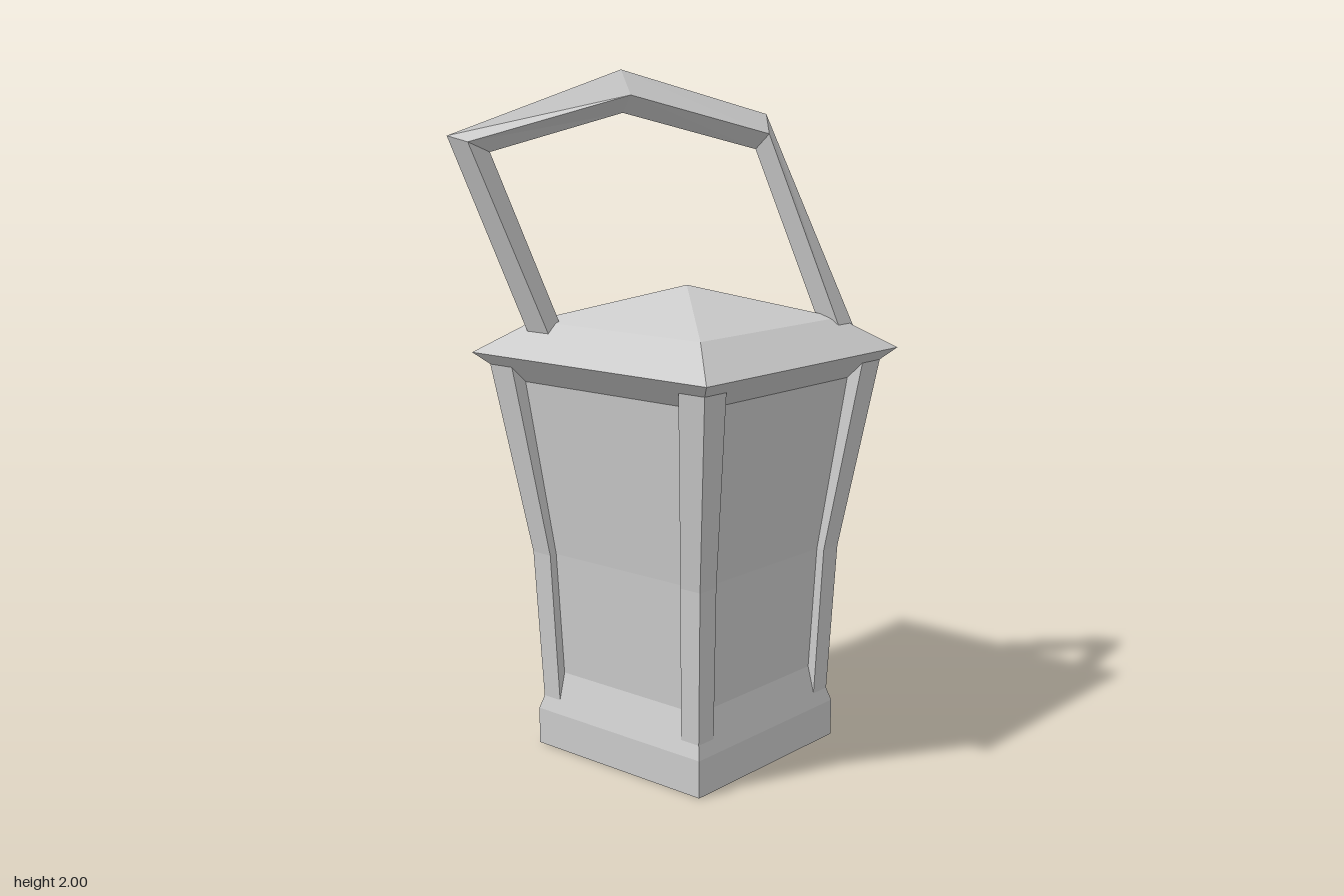
import * as THREE from 'three';

const material = new THREE.MeshStandardMaterial({ color: 0xcccccc, flatShading: true });

// Skin four-cornered rings (counter-clockwise about the travel direction) and cap both ends.
function loft(name, rings) {
  const pos = [];
  const quad = (a, b, c, d) => pos.push(...a, ...b, ...c, ...a, ...c, ...d);
  for (let r = 0; r < rings.length - 1; r++) {
    const a = rings[r], b = rings[r + 1];
    for (let i = 0; i < 4; i++) {
      const j = (i + 1) % 4;
      quad(a[i], a[j], b[j], b[i]);
    }
  }
  quad(...[...rings[0]].reverse());
  quad(...rings[rings.length - 1]);
  const geometry = new THREE.BufferGeometry();
  geometry.setAttribute('position', new THREE.Float32BufferAttribute(pos, 3));
  geometry.computeVertexNormals();
  const mesh = new THREE.Mesh(geometry, material);
  mesh.name = name;
  return mesh;
}

// Horizontal square ring of half-width h around (cx, cz).
const square = (h, y, cx = 0, cz = 0) =>
  [[1, 1], [1, -1], [-1, -1], [-1, 1]].map(([x, z]) => [cx + x * h, y, cz + z * h]);

// Handle section: ridge, front and back corners; the inner corner completes the parallelogram.
const section = (ridge, front, back) =>
  [ridge, front, front.map((v, i) => v + back[i] - ridge[i]), back];

export function createModel() {
  const model = new THREE.Group();
  model.name = 'lantern';

  const lantern = new THREE.Group();
  lantern.name = 'lanternBody';
  lantern.position.x = 0.05;
  model.add(lantern);

  // Plinth with sloped shoulder, then the flaring panes
  lantern.add(loft('base', [[0.315, 0], [0.315, 0.11], [0.28, 0.23]].map(([h, y]) => square(h, y))));
  lantern.add(loft('panes', [[0.28, 0.23], [0.297, 0.6], [0.355, 1.12]].map(([h, y]) => square(h, y))));

  // Hipped roof with undercut eaves and a shallower cap
  lantern.add(loft('roof', [[0.352, 1.115], [0.44, 1.2], [0.315, 1.29], [0.0005, 1.39]]
    .map(([h, y]) => square(h, y))));

  // Corner posts: height, inner edge, outer edge
  const postProfile = [[0.14, 0.238, 0.303], [0.6, 0.252, 0.322], [1.175, 0.315, 0.405]];
  for (const sx of [-1, 1]) for (const sz of [-1, 1]) {
    lantern.add(loft('cornerPost', postProfile.map(([y, inner, outer]) => {
      const c = (inner + outer) / 2;
      return square((outer - inner) / 2, y, sx * c, sz * c);
    })));
  }

  // Tilted carrying handle, swept from the back corner to the front corner
  model.add(loft('handle', [
    section([-0.295, 1.25, -0.3], [-0.295, 1.25, -0.215], [-0.235, 1.25, -0.3]),
    section([-0.492, 1.82, -0.41], [-0.492, 1.805, -0.325], [-0.407, 1.79, -0.414]),
    section([-0.09, 2, -0.125], [-0.11, 1.93, -0.07], [-0.058, 1.95, -0.185]),
    section([0.262, 1.875, 0.12], [0.232, 1.82, 0.155], [0.273, 1.83, 0.062]),
    section([0.405, 1.255, 0.345], [0.335, 1.255, 0.345], [0.405, 1.255, 0.275]),
  ]));

  return model;
}
